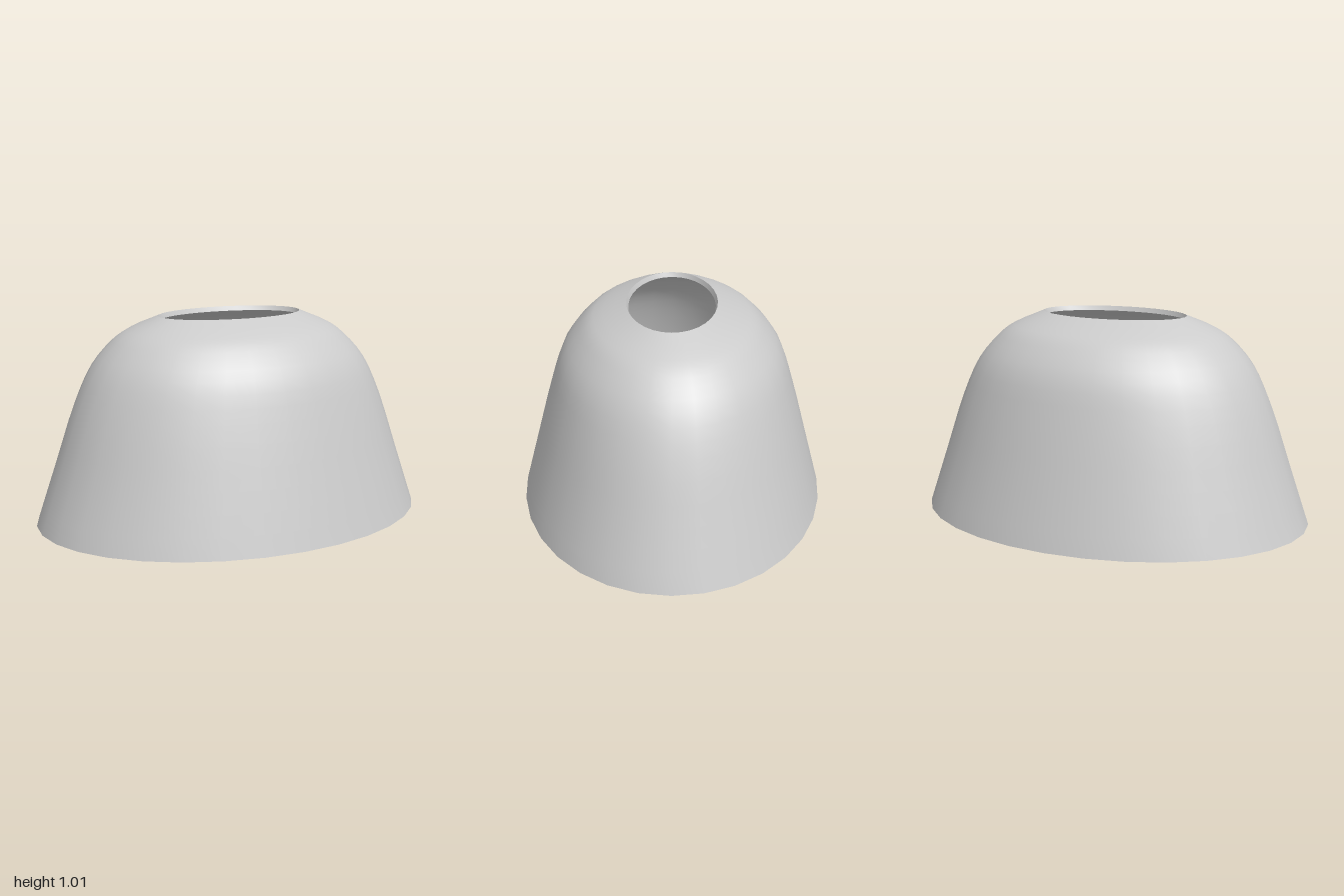
import * as THREE from 'three';

const SEGMENTS = 32;
const WALL = 0.025;

// Surface through a list of elliptical rings, each (x radius, height, z radius).
function ringSurface(rings, name, material) {
  const pos = [], index = [], row = SEGMENTS + 1;
  rings.forEach((r) => {
    for (let i = 0; i <= SEGMENTS; i++) {
      const a = ((i % SEGMENTS) / SEGMENTS) * Math.PI * 2;
      pos.push(r.x * Math.sin(a), r.y, r.z * Math.cos(a));
    }
  });
  for (let j = 0; j < rings.length - 1; j++) {
    for (let i = 0; i < SEGMENTS; i++) {
      const a = j * row + i, b = a + row;
      index.push(a, a + 1, b, a + 1, b + 1, b);
    }
  }
  const geo = new THREE.BufferGeometry();
  geo.setAttribute('position', new THREE.Float32BufferAttribute(pos, 3));
  geo.setIndex(index);
  geo.computeVertexNormals();
  // Average the normals along the seam
  const n = geo.attributes.normal;
  for (let j = 0; j < rings.length; j++) {
    const a = j * row, b = a + SEGMENTS;
    const v = new THREE.Vector3().fromBufferAttribute(n, a)
      .add(new THREE.Vector3().fromBufferAttribute(n, b)).normalize();
    n.setXYZ(a, v.x, v.y, v.z);
    n.setXYZ(b, v.x, v.y, v.z);
  }
  const mesh = new THREE.Mesh(geo, material);
  mesh.name = name;
  return mesh;
}

export function createModel() {
  const group = new THREE.Group();
  group.name = 'ovalShade';
  const material = new THREE.MeshStandardMaterial({ color: 0xcccccc });

  // Outer profile: straight flared skirt rounding into the shoulder and top opening
  const profile = new THREE.CatmullRomCurve3([
    [1.0, 0.008, 0.757], [0.9, 0.3, 0.68], [0.8, 0.59, 0.602], [0.71, 0.775, 0.54],
    [0.605, 0.895, 0.45], [0.53, 0.947, 0.385], [0.375, 1.014, 0.222],
  ].map((p) => new THREE.Vector3(...p)));
  const outer = profile.getPoints(18);

  // Inner profile: the outer one moved inward by the wall thickness
  const inner = outer.map((p, i) => {
    const t = profile.getTangent(i / 18);
    const lx = Math.hypot(t.x, t.y), lz = Math.hypot(t.z, t.y);
    return new THREE.Vector3(
      p.x - (WALL * t.y) / lx,
      Math.max(0, p.y + (WALL * (t.x / lx + t.z / lz)) / 2),
      p.z - (WALL * t.y) / lz,
    );
  });

  group.add(
    ringSurface(outer, 'outerWall', material),
    ringSurface([...inner].reverse(), 'innerWall', material),
    ringSurface([inner[0], outer[0]], 'bottomRim', material),
    ringSurface([outer[18], inner[18]], 'topRim', material),
  );
  return group;
}
